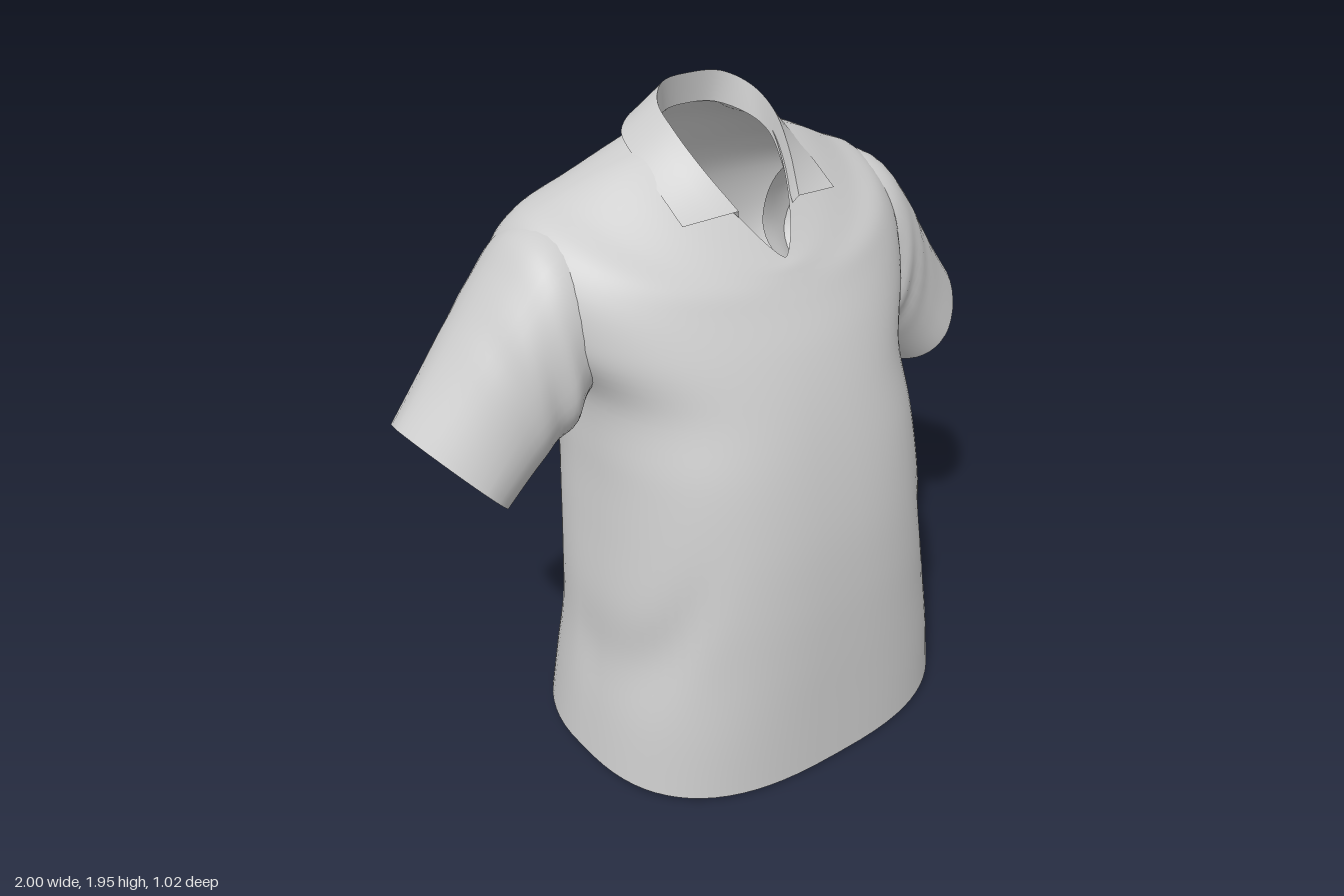
import * as THREE from 'three';

const material = new THREE.MeshStandardMaterial({ color: 0xcccccc, side: THREE.DoubleSide });

// Skins a smooth surface through cross-sections (arrays of Vector3 of equal length).
function loft(sections, rows, closed, fold) {
  const cols = sections[0].length;
  const pos = [];
  const index = [];
  const curves = sections[0].map((_, j) => new THREE.CatmullRomCurve3(sections.map((s) => s[j])));
  for (let i = 0; i <= rows; i++) {
    for (const curve of curves) {
      const p = curve.getPoint(i / rows);
      if (fold) fold(p, i / rows);
      pos.push(p.x, p.y, p.z);
    }
  }
  const span = closed ? cols : cols - 1;
  for (let i = 0; i < rows; i++) {
    for (let j = 0; j < span; j++) {
      const k = (j + 1) % cols;
      const a = i * cols + j, b = i * cols + k, c = a + cols, d = b + cols;
      index.push(a, b, c, b, d, c);
    }
  }
  const geometry = new THREE.BufferGeometry();
  geometry.setAttribute('position', new THREE.Float32BufferAttribute(pos, 3));
  geometry.setIndex(index);
  geometry.computeVertexNormals();
  return geometry;
}

// Surface closing a ring, drawn inwards at its middle.
function closing(ring, inset) {
  const centre = new THREE.Vector3();
  ring.forEach((p) => centre.addScaledVector(p, 1 / ring.length));
  const scaled = (s, depth) => ring.map((p) => p.clone().sub(centre).multiplyScalar(s)
    .add(centre).addScaledVector(inset, depth));
  return loft([scaled(0.001, 1), scaled(0.5, 0.75), ring], 6, true);
}

function part(name, geometry) {
  const mesh = new THREE.Mesh(geometry, material);
  mesh.name = name;
  return mesh;
}

const power = (v, n) => Math.sign(v) * Math.pow(Math.abs(v), 2 / n);
const bump = (v, centre, width) => Math.exp(-(((v - centre) / width) ** 2));

// Torso ring: heights at front, side and back, half width, depths, and squareness front/back.
function torsoRing([yFront, ySide, yBack, w, zFront, zBack, zMid, nFront, nBack]) {
  const points = [];
  for (let j = 0; j < 80; j++) {
    const t = (j / 80) * Math.PI * 2;
    const c = Math.cos(t);
    const n = c > 0 ? nFront : nBack;
    const f = power(c, n);
    const x = w * power(Math.sin(t), n);
    const y = ySide + Math.abs(f) ** 1.3 * ((f > 0 ? yFront : yBack) - ySide);
    const z = zMid + Math.abs(f) * ((f > 0 ? zFront : zBack) - zMid);
    points.push(new THREE.Vector3(x, y, z));
  }
  return points;
}

// Soft vertical drapes on the back and diagonal creases at the sides of the waist.
function torsoFold(p) {
  const ax = Math.abs(p.x);
  if (p.z < -0.1) {
    const fade = bump(p.y, 0.85, 0.4) * Math.min(1, (-0.1 - p.z) / 0.2);
    p.z += 0.01 * fade * Math.sin(15 * p.x + 1.5 * p.y + 0.6);
  }
  if (p.z > 0) {
    const crease = bump(ax - 0.35 * (0.5 - p.y), 0.5, 0.05) * bump(p.y, 0.5, 0.2);
    p.x *= 1 - 0.03 * crease;
    p.z -= 0.015 * crease;
  }
}

// Sleeve ring: top and bottom points of the outline, depth range, and squareness of the top.
function sleeveRing([tx, ty, bx, by, zFront, zBack, nTop], side) {
  const points = [];
  for (let j = 0; j < 40; j++) {
    const t = (j / 40) * Math.PI * 2 * side;
    const c = Math.cos(t);
    const n = c > 0 ? nTop : 2.3;
    const u = 0.4 + (c > 0 ? 0.6 : 0.4) * power(c, n);
    const z = (zFront + zBack) / 2 + ((zFront - zBack) / 2) * power(Math.sin(t), n);
    points.push(new THREE.Vector3(side * (bx + (tx - bx) * u), by + (ty - by) * u, z));
  }
  return points;
}

// Bunched creases where the sleeve meets the armpit.
function sleeveFold(p, v) {
  const ax = Math.abs(p.x);
  const low = THREE.MathUtils.clamp((1.5 - p.y) / 0.3, 0, 1);
  const amount = 0.01 * low * bump(v, 0.5, 0.15) * Math.sin(60 * (ax - 0.12 * p.y));
  p.z += amount * Math.sign(p.z + 0.16);
}

// Mirrors a half path, starting at the centre back, into a smooth full path.
function collarPath(half) {
  const right = half.slice(1).reverse().map(([x, y, z]) => new THREE.Vector3(-x, y, z));
  const left = half.map(([x, y, z]) => new THREE.Vector3(x, y, z));
  const curve = new THREE.CatmullRomCurve3([...right, ...left]);
  return Array.from({ length: 61 }, (_, i) => curve.getPoint(i / 60));
}

export function createModel() {
  const shirt = new THREE.Group();
  shirt.name = 'shirt';

  // Torso from hem to neckline, swelling at the shoulders to run into the sleeves
  const rings = [
    [0.00, 0.04, 0.04, 0.625, 0.51, -0.51, 0.02, 2.7, 2.2],
    [0.20, 0.22, 0.22, 0.60, 0.51, -0.46, 0.02, 2.7, 2.3],
    [0.40, 0.41, 0.41, 0.575, 0.51, -0.425, 0.02, 2.6, 2.3],
    [0.60, 0.60, 0.60, 0.563, 0.505, -0.405, 0.02, 2.5, 2.4],
    [0.80, 0.80, 0.80, 0.54, 0.488, -0.42, 0.0, 2.5, 2.5],
    [1.00, 1.00, 1.00, 0.52, 0.452, -0.44, -0.02, 2.5, 2.6],
    [1.17, 1.20, 1.20, 0.52, 0.405, -0.455, -0.06, 2.3, 2.9],
    [1.31, 1.40, 1.40, 0.635, 0.35, -0.46, -0.14, 2.0, 3.2],
    [1.42, 1.55, 1.55, 0.645, 0.29, -0.44, -0.17, 2.0, 3.1],
    [1.46, 1.65, 1.65, 0.58, 0.267, -0.40, -0.17, 2.05, 2.7],
    [1.49, 1.705, 1.72, 0.46, 0.25, -0.36, -0.16, 2.0, 2.4],
    [1.515, 1.77, 1.80, 0.315, 0.235, -0.305, -0.12, 1.85, 2.2],
    [1.535, 1.815, 1.865, 0.17, 0.217, -0.24, -0.08, 1.38, 2.1],
  ];
  const sections = rings.map(torsoRing);
  shirt.add(part('torso', loft(sections, 72, true, torsoFold)));
  shirt.add(part('hemLining', closing(sections[0], new THREE.Vector3(0, 0.02, 0))));

  // Sleeves, each closed just inside the cuff
  const sleeve = [
    [0.42, 1.63, 0.36, 1.30, 0.03, -0.35, 2.0],
    [0.54, 1.65, 0.45, 1.24, 0.065, -0.385, 2.05],
    [0.62, 1.625, 0.51, 1.17, 0.085, -0.395, 2.1],
    [0.70, 1.54, 0.56, 1.09, 0.085, -0.395, 2.1],
    [0.80, 1.415, 0.62, 1.025, 0.06, -0.39, 2.0],
    [0.90, 1.29, 0.685, 0.955, 0.045, -0.39, 1.8],
    [1.00, 1.17, 0.75, 0.89, 0.04, -0.39, 1.6],
  ];
  for (const side of [1, -1]) {
    const name = side > 0 ? 'left' : 'right';
    const ringsOut = sleeve.map((r) => sleeveRing(r, side));
    const inset = new THREE.Vector3(-0.04 * side, 0.035, 0);
    shirt.add(part(name + 'Sleeve', loft(ringsOut, 36, true, sleeveFold)));
    shirt.add(part(name + 'CuffLining', closing(ringsOut.at(-1), inset)));
  }

  // Collar: a stand inside the neck and a fall folded over it
  const inner = collarPath([
    [0, 1.86, -0.235], [0.09, 1.855, -0.215], [0.15, 1.825, -0.13],
    [0.163, 1.79, -0.06], [0.14, 1.72, 0.03], [0.095, 1.645, 0.13],
  ]);
  const crease = collarPath([
    [0, 1.95, -0.22], [0.1, 1.945, -0.2], [0.16, 1.91, -0.14],
    [0.172, 1.855, -0.05], [0.15, 1.77, 0.045], [0.105, 1.668, 0.145],
  ]);
  const outer = collarPath([
    [0, 1.87, -0.28], [0.14, 1.865, -0.27], [0.235, 1.83, -0.21],
    [0.262, 1.79, -0.12], [0.265, 1.72, 0.0], [0.265, 1.65, 0.11],
  ]);
  const collar = new THREE.Group();
  collar.name = 'collar';
  collar.add(part('collarStand', loft([inner, crease], 2, false)));
  collar.add(part('collarFall', loft([crease, outer], 4, false)));
  shirt.add(collar);

  return shirt;
}
